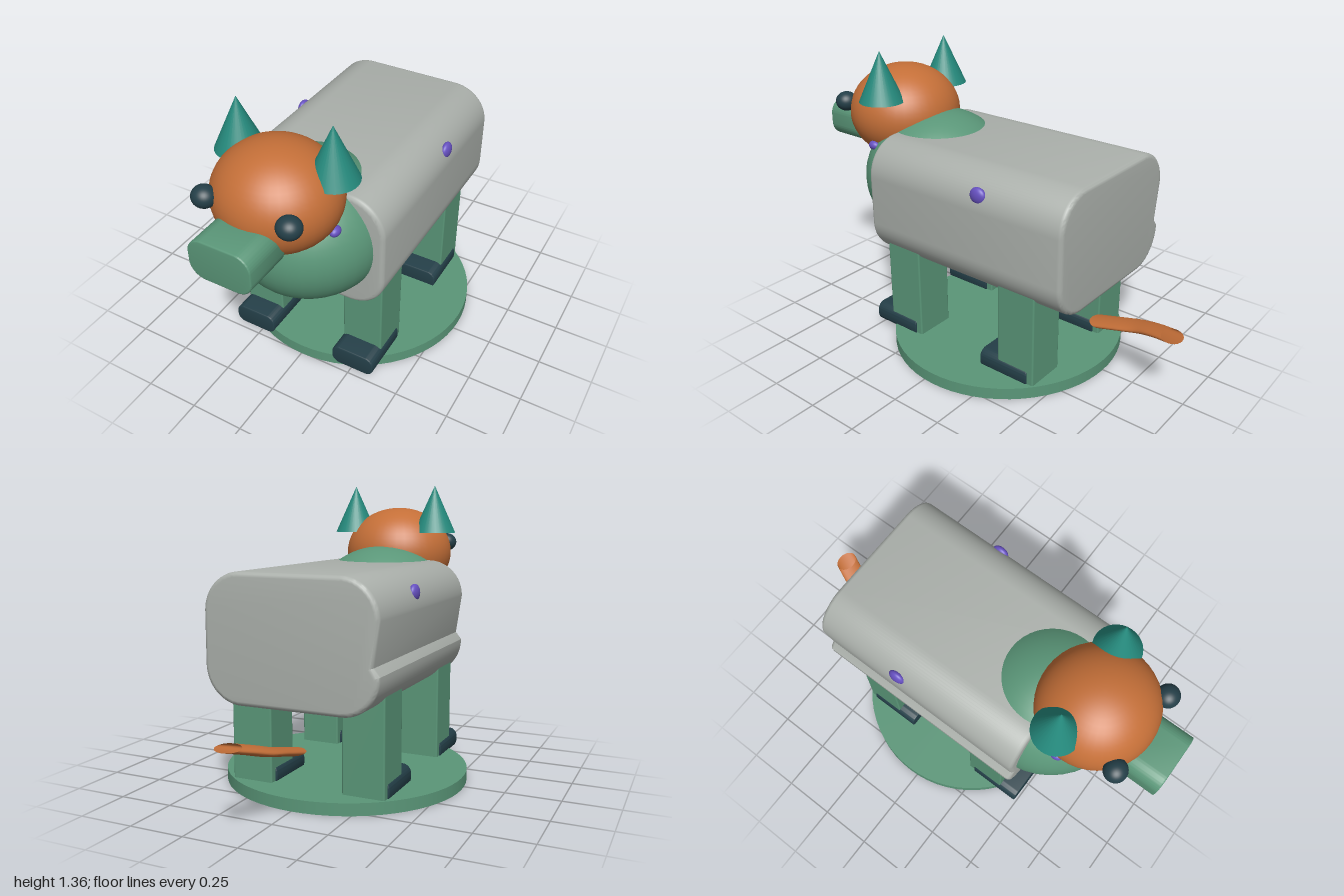
import * as THREE from 'three';
import { toCreasedNormals } from 'three/addons/utils/BufferGeometryUtils.js';
import { RoundedBoxGeometry } from 'three/addons/geometries/RoundedBoxGeometry.js';

const mat = (name, color) => {
  const m = new THREE.MeshStandardMaterial({ color });
  m.name = name;
  return m;
};

// Rounded rectangle pulled along z, spanning z0 to z1, with bevelled rims
function roundedPrism(w, h, r, bevel, z0, z1, groove = false) {
  const x = w / 2 - bevel, y = h / 2 - bevel, c = r - bevel;
  const s = new THREE.Shape();
  s.moveTo(-x + c, -y);
  s.lineTo(x - c, -y);
  s.absarc(x - c, -y + c, c, -Math.PI / 2, 0);
  s.lineTo(x, y - c);
  s.absarc(x - c, y - c, c, 0, Math.PI / 2);
  s.lineTo(-x + c, y);
  s.absarc(-x + c, y - c, c, Math.PI / 2, Math.PI);
  if (groove) s.lineTo(-x + 0.028, -0.077); // long crease on the right flank
  s.lineTo(-x, -y + c);
  s.absarc(-x + c, -y + c, c, Math.PI, Math.PI * 1.5);
  const g = new THREE.ExtrudeGeometry(s, {
    depth: z1 - z0 - 2 * bevel, curveSegments: 10,
    bevelEnabled: true, bevelSize: bevel, bevelThickness: bevel, bevelSegments: 3,
  });
  g.translate(0, 0, z0 + bevel);
  return toCreasedNormals(g, 0.55);
}

// Sheared tube: near-level oval rings following a rising path
function tailGeometry() {
  const curve = new THREE.CatmullRomCurve3([
    [0, 0.25, -0.567], [0, 0.28, -0.68], [0.003, 0.307, -0.78],
    [0.03, 0.335, -0.865], [0.065, 0.36, -0.95],
  ].map(p => new THREE.Vector3(...p)));
  const rings = 20, sides = 24, pos = [], idx = [];
  for (let i = 0; i <= rings; i++) {
    const p = curve.getPoint(i / rings);
    for (let j = 0; j < sides; j++) {
      const a = (j / sides) * Math.PI * 2, dz = 0.045 * Math.sin(a);
      pos.push(p.x + 0.056 * Math.cos(a), p.y + 0.15 * dz, p.z + dz);
      if (i === rings) continue;
      const k = (j + 1) % sides, b = i * sides;
      idx.push(b + j, b + sides + j, b + k, b + k, b + sides + j, b + sides + k);
    }
  }
  const g = new THREE.BufferGeometry();
  g.setAttribute('position', new THREE.Float32BufferAttribute(pos, 3));
  g.setIndex(idx);
  g.computeVertexNormals();
  return g;
}

export function createModel() {
  const model = new THREE.Group();
  const green = mat('sage green', 0x5a9678);
  const grey = mat('stone grey', 0xabb0ab);
  const orange = mat('burnt orange', 0xc46f38);
  const teal = mat('teal', 0x258a7d);
  const navy = mat('dark slate', 0x243f48);
  const purple = mat('violet', 0x6650c0);
  const tailOrange = orange.clone();
  tailOrange.name = 'burnt orange';
  tailOrange.side = THREE.DoubleSide;

  const add = (name, geo, material, x = 0, y = 0, z = 0) => {
    const m = new THREE.Mesh(geo, material);
    m.name = name;
    m.position.set(x, y, z);
    model.add(m);
    return m;
  };
  const ball = (name, material, x, y, z, rx, ry, rz) =>
    add(name, new THREE.SphereGeometry(1, 40, 28), material, x, y, z).scale.set(rx, ry, rz);

  // Stand
  add('base', new THREE.CylinderGeometry(0.565, 0.565, 0.055, 64), green, 0, 0.0275, -0.045).scale.z = 0.974;

  // Trunk, chest, head
  add('body', roundedPrism(0.8, 0.565, 0.17, 0.02, -0.61, 0.46, true), grey, 0, 0.7075, 0);
  ball('chest', green, 0, 0.735, 0.387, 0.36, 0.325, 0.362);
  ball('head', orange, 0, 1.021, 0.605, 0.273, 0.229, 0.264);
  add('snout', roundedPrism(0.285, 0.185, 0.07, 0.006, 0.78, 1.0), green, 0, 0.932, 0);
  add('tail', tailGeometry(), tailOrange);

  // Mirrored features
  for (const s of [1, -1]) {
    const side = s > 0 ? 'left' : 'right';
    ball(side + 'Eye', navy, s * 0.193, 1.068, 0.815, 0.053, 0.047, 0.051);
    add(side + 'Ear', new THREE.ConeGeometry(0.106, 0.235, 32), teal, s * 0.218, 1.2425, 0.538);
    ball(side + 'BodySpot', purple, s * 0.379, 0.89, -0.175, 0.022, 0.038, 0.041);
    ball(side + 'ChestSpot', purple, s * 0.245, 0.905, 0.58, 0.022, 0.022, 0.03);

    // Legs and feet, front and hind
    for (const [end, z] of [['Front', 0.298], ['Hind', -0.362]]) {
      add(side + end + 'Leg', new RoundedBoxGeometry(0.195, 0.46, 0.195, 2, 0.008), green, s * 0.267, 0.27, z);
      add(side + end + 'Foot', roundedPrism(0.212, 0.1, 0.04, 0.006, -0.065, 0.193), navy, s * 0.267, 0.08, z);
    }
  }
  return model;
}
